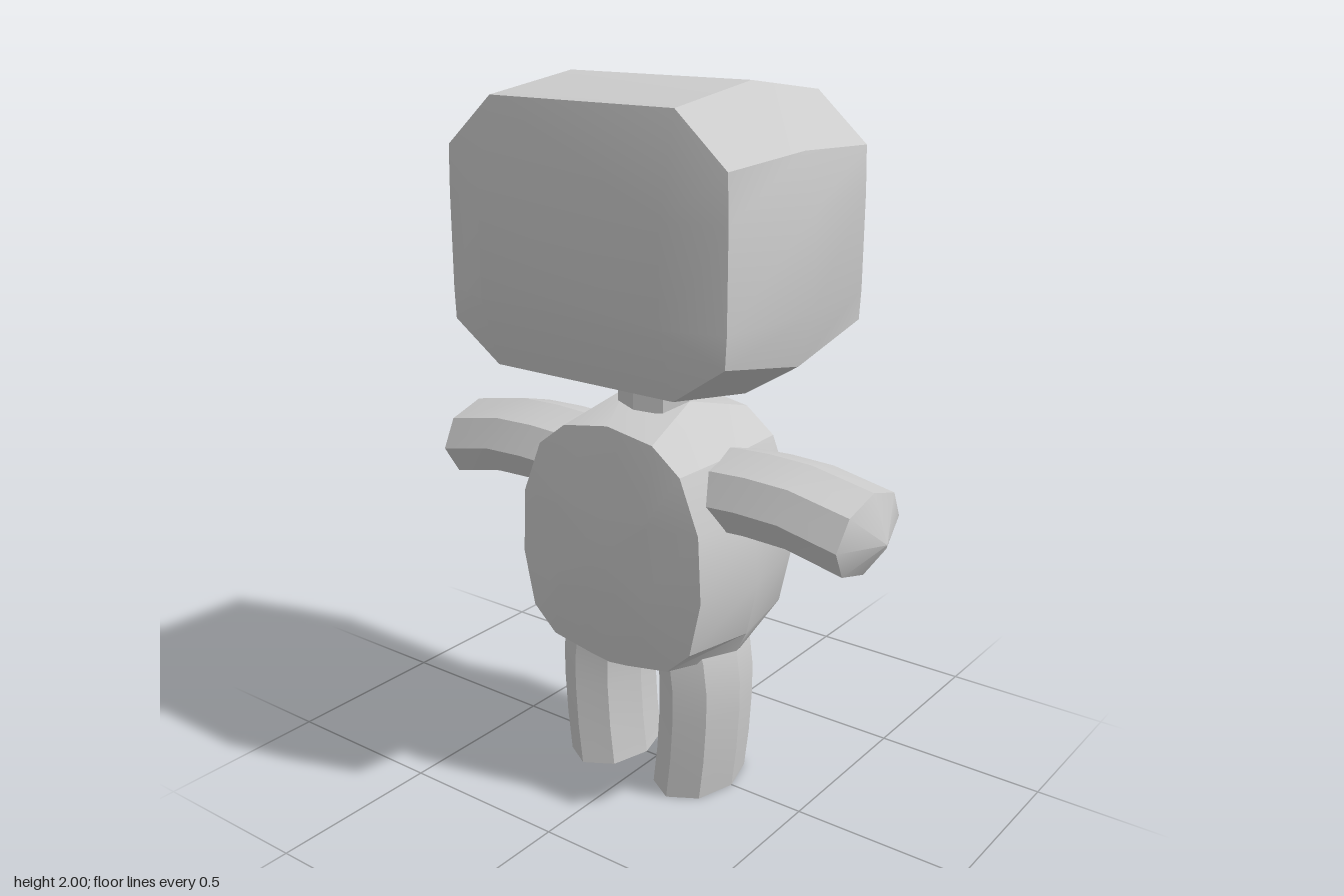
import * as THREE from 'three';
import { toCreasedNormals } from 'three/addons/utils/BufferGeometryUtils.js';

const material = new THREE.MeshStandardMaterial({ color: 0xcccccc });

// Skin a list of rings (each clockwise when seen from the end of the list).
function loft(name, rings) {
  const pos = [];
  const tri = (a, b, c) => {
    const n = b.clone().sub(a).cross(c.clone().sub(a));
    if (n.length() > 1e-7) pos.push(...a.toArray(), ...b.toArray(), ...c.toArray());
  };
  for (let i = 0; i < rings.length - 1; i++) {
    const r = rings[i], q = rings[i + 1], n = r.length;
    for (let j = 0; j < n; j++) {
      const k = (j + 1) % n;
      tri(r[j], q[j], q[k]);
      tri(r[j], q[k], r[k]);
    }
  }
  const geo = new THREE.BufferGeometry();
  geo.setAttribute('position', new THREE.Float32BufferAttribute(pos, 3));
  const mesh = new THREE.Mesh(toCreasedNormals(geo, 0.45), material);
  mesh.name = name;
  return mesh;
}

// Ring of zero size that closes a loft at one point.
const tip = (x, y, z, n) => Array.from({ length: n }, () => new THREE.Vector3(x, y, z));

// Pillow form: a middle outline, a front/back rim and a raised flat panel.
function pillow(name, mid, rim, rimZ, panelZ, panelX, yLow, yHigh) {
  const ring = (half, z) => [
    ...half.map(([x, y]) => new THREE.Vector3(x, y, z)),
    ...half.slice().reverse().map(([x, y]) => new THREE.Vector3(-x, y, z)),
  ];
  const panel = rim.map(([x, y]) => [Math.min(x, panelX), THREE.MathUtils.clamp(y, yLow, yHigh)]);
  const n = mid.length * 2, cy = (yLow + yHigh) / 2;
  return loft(name, [
    tip(0, cy, -panelZ, n), ring(panel, -panelZ), ring(rim, -rimZ), ring(mid, 0),
    ring(rim, rimZ), ring(panel, panelZ), tip(0, cy, panelZ, n),
  ]);
}

const SIDES = 8, HALF_THIN = 0.115, HALF_WIDE = 0.165;
const angles = Array.from({ length: SIDES }, (_, i) => (i / SIDES) * Math.PI * 2);

// Arm: eight-sided, drooping outward, with a blunt pointed end.
function arm(name, s) {
  const path = [[0.16, 0.91], [0.26, 0.922], [0.37, 0.927], [0.5, 0.923], [0.675, 0.888]];
  const rings = path.map(([x, y], i) => angles.map((a) => new THREE.Vector3(
    s * (x + (i === 4 ? 0.01 * Math.cos(a) : 0)),
    y + HALF_THIN * Math.cos(a),
    -s * HALF_WIDE * Math.sin(a))));
  return loft(name, [tip(s * 0.16, 0.91, 0, SIDES), ...rings, tip(s * 0.73, 0.872, 0, SIDES)]);
}

// Leg: eight-sided, slightly bowed, flat on the ground.
function leg(name, s) {
  const path = [[0.155, 0], [0.169, 0.12], [0.177, 0.25], [0.177, 0.34], [0.165, 0.43], [0.15, 0.48]];
  const rings = path.map(([x, y]) => angles.map((a) => new THREE.Vector3(
    s * x - HALF_THIN * Math.sin(a), y, HALF_WIDE * Math.cos(a))));
  return loft(name, [tip(s * 0.155, 0, 0, SIDES), ...rings, tip(s * 0.15, 0.48, 0, SIDES)]);
}

export function createModel() {
  const model = new THREE.Group();
  model.name = 'figure';

  // Head: half outlines from top to bottom
  model.add(pillow('head',
    [[0.29, 2.0], [0.45, 1.84], [0.487, 1.7], [0.487, 1.44], [0.45, 1.295], [0.29, 1.195]],
    [[0.29, 1.957], [0.442, 1.823], [0.446, 1.7], [0.446, 1.44], [0.442, 1.355], [0.29, 1.25]],
    0.322, 0.38, 0.29, 1.44, 1.7));

  // Body
  model.add(pillow('body',
    [[0, 1.14], [0.11, 1.14], [0.265, 1.02], [0.33, 0.84], [0.345, 0.66],
      [0.31, 0.5], [0.27, 0.42], [0.06, 0.34], [0, 0.34]],
    [[0, 1.105], [0.15, 1.08], [0.24, 1.01], [0.3, 0.86], [0.31, 0.67],
      [0.275, 0.51], [0.2, 0.44], [0.06, 0.415], [0, 0.408]],
    0.224, 0.26, 0.15, 0.62, 0.87));

  // Neck
  const neckGeo = new THREE.CylinderGeometry(0.11, 0.11, 0.14, 8).toNonIndexed();
  const neck = new THREE.Mesh(toCreasedNormals(neckGeo, 0.45), material);
  neck.name = 'neck';
  neck.position.y = 1.16;
  model.add(neck);

  // Limbs
  for (const [side, s] of [['left', 1], ['right', -1]]) {
    model.add(arm(side + 'Arm', s), leg(side + 'Leg', s));
  }
  return model;
}
